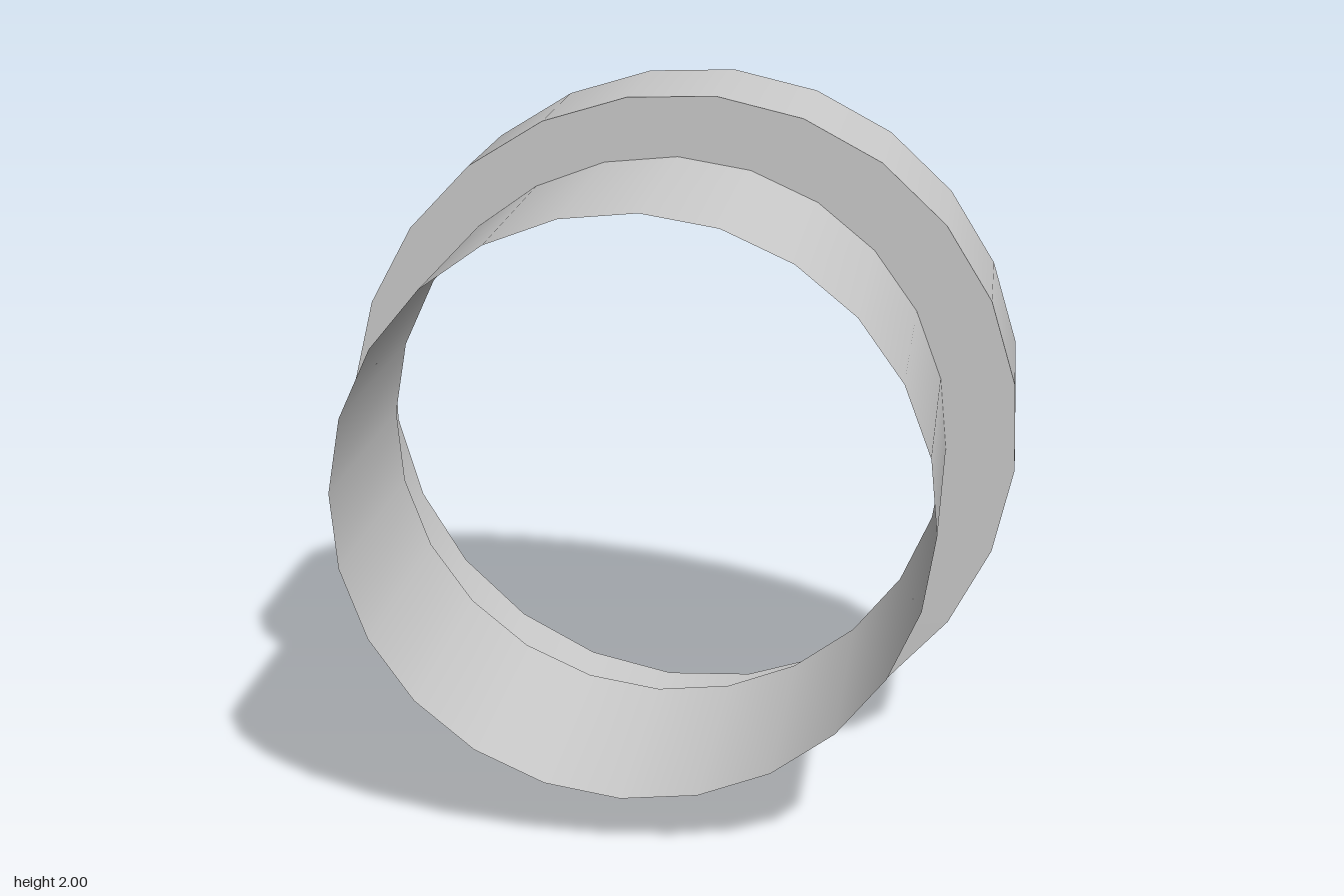
import * as THREE from 'three';

const SIDES = 24;
const BACK = -0.688, STEP = -0.155, FRONT = 0.688;

// The two slightly off-centre bores; turn is the angle of the first corner
const wide = { x: 0, y: 1, r: 1.004, turn: THREE.MathUtils.degToRad(9.2) };
const narrow = { x: -0.04, y: 0.986, r: 0.834, turn: THREE.MathUtils.degToRad(13) };

const material = new THREE.MeshStandardMaterial({ color: 0xcccccc, side: THREE.DoubleSide });

// Open thin-walled tube along z
function tube(name, c, z0, z1) {
  const geometry = new THREE.CylinderGeometry(c.r, c.r, z1 - z0, SIDES, 1, true, c.turn + Math.PI / 2);
  geometry.rotateX(Math.PI / 2);
  geometry.translate(c.x, c.y, (z0 + z1) / 2);
  const mesh = new THREE.Mesh(geometry, material);
  mesh.name = name;
  return mesh;
}

// Corners of a tube's cross-section
function outline(c) {
  return Array.from({ length: SIDES }, (_, i) => {
    const a = c.turn + (i / SIDES) * Math.PI * 2;
    return new THREE.Vector2(c.x + c.r * Math.cos(a), c.y + c.r * Math.sin(a));
  });
}

export function createModel() {
  const group = new THREE.Group();
  group.name = 'steppedSleeve';

  group.add(tube('wideCollar', wide, BACK, STEP));
  group.add(tube('narrowSleeve', narrow, STEP, FRONT));

  // Flat ring joining the two tubes
  const shape = new THREE.Shape(outline(wide));
  shape.holes.push(new THREE.Path(outline(narrow)));
  const shoulder = new THREE.Mesh(new THREE.ShapeGeometry(shape), material);
  shoulder.name = 'shoulderRing';
  shoulder.position.z = STEP;
  group.add(shoulder);

  return group;
}
